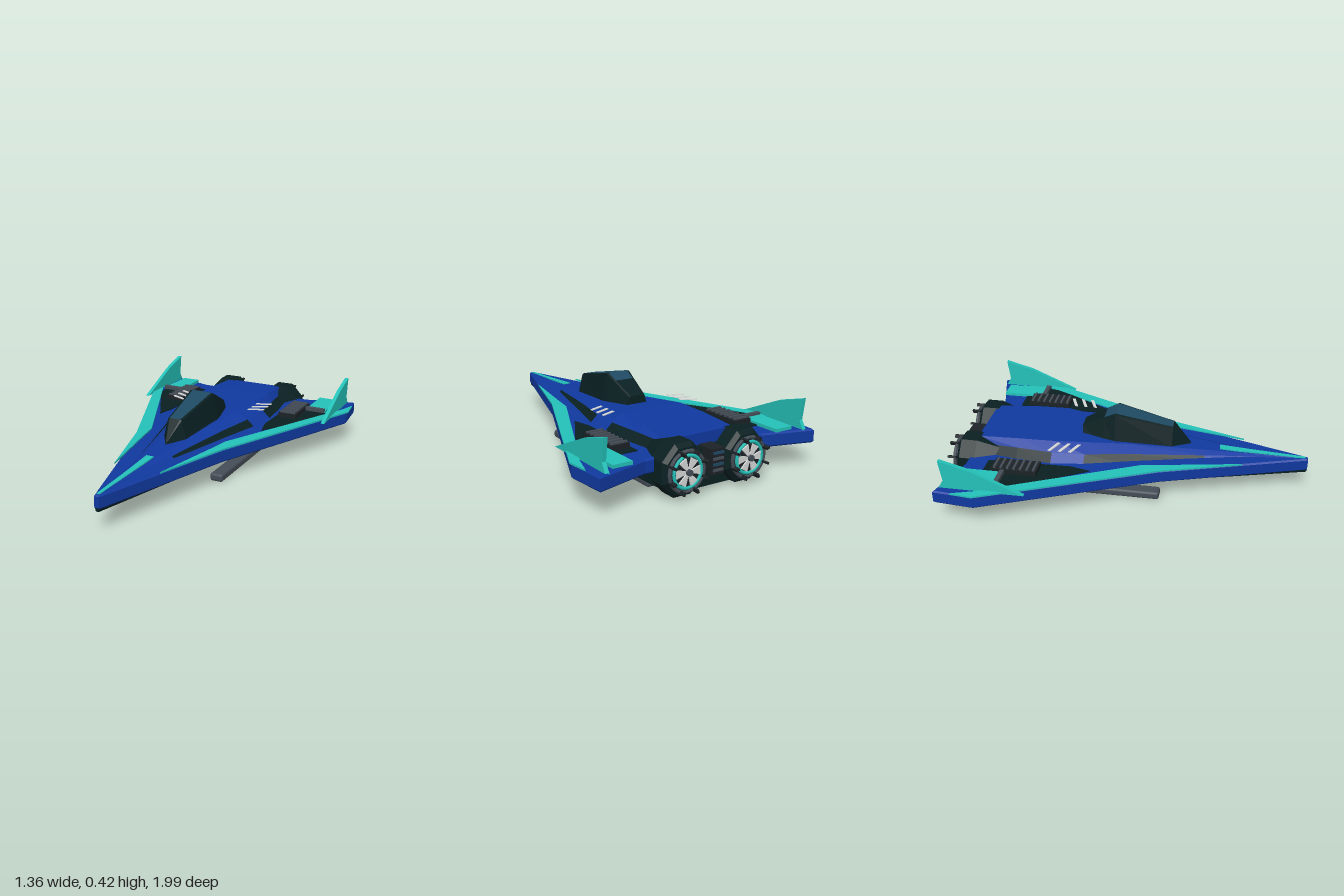
import * as THREE from 'three';
import { RoundedBoxGeometry } from 'three/addons/geometries/RoundedBoxGeometry.js';

const mat = (name, color) => {
  const m = new THREE.MeshStandardMaterial({ color });
  m.name = name;
  return m;
};

export function createModel() {
  const blue = mat('hull blue', 0x1039a0);
  const teal = mat('trim teal', 0x24c2b9);
  const dark = mat('dark panel', 0x0a2022);
  const glass = mat('canopy glass', 0x1f4a63);
  const grey = mat('metal grey', 0x454d57);
  const white = mat('marking white', 0xd6d9d8);
  const vent = mat('vent black', 0x1c2226);

  const model = new THREE.Group();
  model.name = 'starfighter';
  const add = (name, geo, material, parent = model) => {
    const mesh = new THREE.Mesh(geo, material);
    mesh.name = name;
    parent.add(mesh);
    return mesh;
  };
  const box = (name, w, h, d, x, y, z, material, parent) => {
    const mesh = add(name, new THREE.BoxGeometry(w, h, d), material, parent);
    mesh.position.set(x, y, z);
    return mesh;
  };

  // Flat plate from an [x, z] outline lying between two heights
  const plate = (name, pts, y0, y1, material, bevel = 0) => {
    const shape = new THREE.Shape(pts.map(([x, z]) => new THREE.Vector2(x, -z)));
    const geo = new THREE.ExtrudeGeometry(shape, {
      depth: y1 - y0 - 2 * bevel, bevelEnabled: bevel > 0, bevelSize: bevel,
      bevelThickness: bevel, bevelOffset: -bevel, bevelSegments: 1,
    });
    geo.rotateX(-Math.PI / 2).translate(0, y0 + bevel, 0);
    return add(name, geo, material);
  };

  // Faceted loft through rings ordered back to front, each counter-clockwise seen from +z;
  // pick(segment, side) chooses the material index of each face
  const loft = (name, rings, materials, pick = () => 0) => {
    const buckets = materials.map(() => []);
    const n = rings[0].length;
    const last = rings[rings.length - 1];
    for (let s = 0; s < rings.length - 1; s++) {
      for (let i = 0; i < n; i++) {
        const j = (i + 1) % n;
        const [a, b, c, d] = [rings[s][i], rings[s][j], rings[s + 1][j], rings[s + 1][i]];
        buckets[pick(s, i)].push(...a, ...b, ...c, ...a, ...c, ...d);
      }
    }
    for (let i = 1; i < n - 1; i++) {
      buckets[0].push(...rings[0][0], ...rings[0][i + 1], ...rings[0][i]);
      buckets[0].push(...last[0], ...last[i], ...last[i + 1]);
    }
    const geo = new THREE.BufferGeometry();
    geo.setAttribute('position', new THREE.Float32BufferAttribute(buckets.flat(), 3));
    let start = 0;
    buckets.forEach((b, i) => {
      geo.addGroup(start, b.length / 3, i);
      start += b.length / 3;
    });
    geo.computeVertexNormals();
    return add(name, geo, materials);
  };
  // Symmetric ring from its right-hand points, listed bottom to top
  const ring = (z, half) => [
    ...half.map(([x, y]) => [x, y, z]),
    ...half.slice().reverse().map(([x, y]) => [-x, y, z]),
  ];

  // Delta wing
  const edge = [[0.014, 1], [0.27, 0.2], [0.668, -0.72], [0.65, -0.94], [0.36, -0.86]];
  plate('wing', [...edge, ...edge.slice().reverse().map(([x, z]) => [-x, z])], 0.13, 0.204, blue, 0.008);

  // Keel: z, half width, chine height, bottom half width, bottom height
  loft('keel', [
    [-0.84, 0.315, 0.07, 0.25, 0.03],
    [-0.74, 0.315, 0.07, 0.25, 0.043],
    [-0.4, 0.3, 0.08, 0.23, 0.05],
    [0.19, 0.21, 0.1, 0.14, 0.065],
    [0.998, 0.012, 0.14, 0.008, 0.118],
  ].map(([z, w, yc, b, yb]) => ring(z, [[b, yb], [w, yc], [w, 0.165]])), [dark]);

  // Upper fuselage: z, base half width, shoulder half width, top half width, top height
  loft('fuselage', [
    [-0.84, 0.25, 0.2, 0.18, 0.272],
    [-0.6, 0.285, 0.225, 0.19, 0.285],
    [-0.4, 0.3, 0.245, 0.19, 0.288],
    [-0.22, 0.275, 0.225, 0.155, 0.277],
    [0, 0.215, 0.17, 0.11, 0.262],
    [0.43, 0.105, 0.085, 0.05, 0.23],
    [0.6, 0.065, 0.05, 0.028, 0.217],
    [0.96, 0.012, 0.009, 0.006, 0.206],
  ].map(([z, b, s, t, y]) => ring(z, [[b, 0.195], [s, 0.195 + (y - 0.195) * 0.55], [t, y]])),
  [blue, dark], (s, i) => ((i === 0 || i === 4) && s !== 2 && s < 5 ? 1 : 0));

  // Canopy: z, base half width, top half width, glass half width, top height
  loft('canopy', [
    [-0.265, 0.075, 0.05, 0.04, 0.325],
    [-0.14, 0.1, 0.065, 0.055, 0.388],
    [-0.075, 0.11, 0.073, 0.06, 0.42],
    [0.245, 0.07, 0.042, 0.032, 0.35],
    [0.345, 0.004, 0.003, 0.002, 0.243],
  ].map(([z, b, t, g, y]) => ring(z, [[b, 0.235], [t, y - 0.004], [g, y]])),
  [dark, glass], (s, i) => (i === 2 && (s === 1 || s === 2) ? 1 : 0));

  // Nose stripe following the top of the nose
  loft('noseStripe', [[0.51, 0.022, 0.229], [0.7, 0.016, 0.219], [0.985, 0.008, 0.207]]
    .map(([z, w, y]) => ring(z, [[w, y - 0.009], [w, y]])), [teal]);
  box('noseTipTrim', 0.034, 0.025, 0.03, 0, 0.188, 0.965, teal);

  // Mirrored parts
  for (const s of [1, -1]) {
    const flip = (pts) => pts.map(([x, z]) => [x * s, z]);

    plate('leadingEdgeStripe', flip([
      [0.135, 0.64], [0.275, 0.2], [0.678, -0.72], [0.665, -0.84],
      [0.625, -0.72], [0.555, -0.58], [0.235, 0.1], [0.215, 0.22],
    ]), 0.203, 0.212, teal);
    plate('wingPanel', flip([
      [0.32, -0.74], [0.44, -0.74], [0.44, -0.64], [0.558, -0.63], [0.548, -0.55], [0.335, -0.17], [0.31, -0.28],
    ]), 0.203, 0.21, dark);
    plate('flap', flip([[0.44, -0.88], [0.548, -0.88], [0.56, -0.63], [0.44, -0.63]]), 0.203, 0.222, teal);
    box('flapHinge', 0.115, 0.022, 0.025, 0.498 * s, 0.225, -0.625, grey);

    // Louvred vent
    box('ventBase', 0.11, 0.025, 0.25, 0.383 * s, 0.222, -0.565, vent);
    for (let i = 0; i < 7; i++) {
      box('ventSlat', 0.094, 0.012, 0.012, 0.383 * s, 0.238, -0.672 + i * 0.036, grey);
    }

    // Slanted hull markings
    for (let i = 0; i < 3; i++) {
      const z = -0.4 + i * 0.057;
      plate('slashMark', flip([[0.3, z - 0.008], [0.3, z + 0.01], [0.215, z + 0.045], [0.215, z + 0.027]]),
        0.291, 0.295, white);
    }

    // Vertical tail fin, profile in z and y
    const fin = new THREE.Shape([
      [0.46, 0.2], [0.74, 0.322], [0.905, 0.367], [0.89, 0.25], [0.92, 0.2],
    ].map(([z, y]) => new THREE.Vector2(z, y)));
    const finGeo = new THREE.ExtrudeGeometry(fin, { depth: 0.022, bevelEnabled: false });
    finGeo.rotateY(Math.PI / 2).translate(0.6 * s - 0.011, 0, 0);
    add('tailFin', finGeo, teal);

    // Landing skid with inset strip underneath
    add('skid', new RoundedBoxGeometry(0.075, 0.045, 0.95, 2, 0.014), grey)
      .position.set(0.228 * s, 0.0305, -0.275);
    box('skidStrip', 0.036, 0.008, 0.78, 0.228 * s, 0.006, -0.275, glass);

    // Engine, built along its own +z and turned to face the rear
    const engine = new THREE.Group();
    engine.name = 'engine';
    engine.position.set(0.188 * s, 0.143, -0.83);
    engine.rotation.y = Math.PI;
    model.add(engine);
    const drum = (name, rTop, rBottom, length, sides, z, material) => {
      const geo = new THREE.CylinderGeometry(rTop, rBottom, length, sides);
      geo.rotateY(Math.PI / sides).rotateX(Math.PI / 2).translate(0, 0, z);
      return add(name, sides === 8 ? geo.toNonIndexed() : geo, material, engine);
    };
    for (const d of [
      drum('engineShroud', 0.143, 0.143, 0.09, 8, 0.045, dark),
      drum('engineShoulder', 0.143, 0.1, 0.12, 8, -0.06, dark),
      drum('engineLip', 0.12, 0.143, 0.018, 8, 0.099, dark),
    ]) {
      d.geometry.computeVertexNormals();
      d.scale.x = 0.91;
    }
    drum('nozzleFace', 0.098, 0.098, 0.03, 24, 0.112, vent);
    add('nozzleRing', new THREE.TorusGeometry(0.1, 0.01, 6, 24), grey, engine).position.z = 0.124;
    add('glowRing', new THREE.TorusGeometry(0.08, 0.009, 6, 24), teal, engine).position.z = 0.13;
    drum('fanHub', 0.016, 0.016, 0.025, 12, 0.14, grey);
    for (let i = 0; i < 6; i++) {
      const blade = new THREE.Shape([[0.012, -0.006], [0.068, -0.022], [0.068, 0.022], [0.012, 0.006]]
        .map(([x, y]) => new THREE.Vector2(x, y)));
      const geo = new THREE.ExtrudeGeometry(blade, { depth: 0.008, bevelEnabled: false });
      geo.translate(0, 0, 0.13).rotateZ((i * Math.PI) / 3);
      add('fanBlade', geo, white, engine);
    }
    for (let i = 0; i < 8; i++) {
      const geo = new THREE.BoxGeometry(0.02, 0.012, 0.05);
      geo.translate(0.102, 0, 0.138).rotateZ(((i + 0.5) * Math.PI) / 4);
      add('nozzleProng', geo, vent, engine);
    }
  }

  // Block joining the engines, with rear louvres
  box('engineBridge', 0.3, 0.2, 0.06, 0, 0.11, -0.85, dark);
  box('rearBlock', 0.08, 0.13, 0.1, 0, 0.155, -0.9, vent);
  for (let i = 0; i < 4; i++) box('rearLouvre', 0.06, 0.012, 0.012, 0, 0.113 + i * 0.029, -0.952, i % 2 ? glass : grey);

  return model;
}
